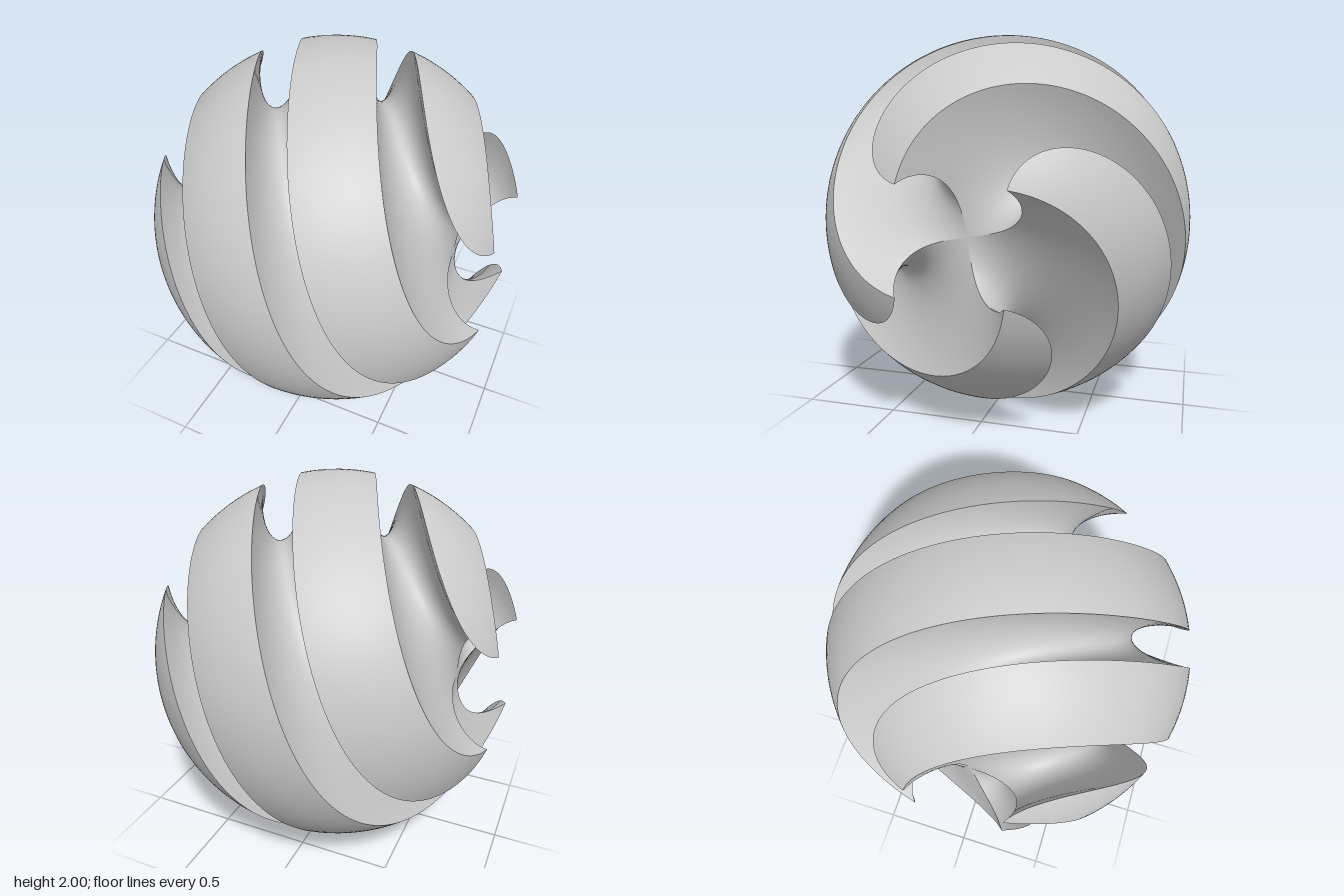
import * as THREE from 'three';

const TWIST = 2.5;      // radians of twist per unit along the x axis
const RING = 0.95;      // radius of the circle each groove follows
const CUT = 0.256;      // radius of the round groove profile
const T_MAX = Math.acos((CUT * CUT + RING * RING - 1) / (2 * RING * CUT)); // profile angle at the sphere surface
const EDGE = CUT * Math.sin(T_MAX);      // half width of a groove at the surface
const TIP = Math.sqrt(1 - 2 * EDGE * EDGE); // x of the pointed land tips

// Grid surface from rule(u, v) -> { x, radius, angle }, twisted around the x axis
function twistedSurface(nu, nv, rule) {
  const geometry = new THREE.PlaneGeometry(1, 1, nu, nv);
  const { position, uv } = geometry.attributes;
  for (let i = 0; i < position.count; i++) {
    const { x, radius, angle } = rule(uv.getX(i), uv.getY(i));
    const phi = angle - TWIST * x;
    position.setXYZ(i, x, radius * Math.sin(phi), radius * Math.cos(phi));
  }
  geometry.computeVertexNormals();
  return geometry;
}

// Spacing along x from -1 to 1, finer towards both ends
const along = (u) => Math.sin(Math.PI * (u - 0.5));

export function createModel() {
  const model = new THREE.Group();
  model.name = 'twistedGroovedSphere';
  const material = new THREE.MeshStandardMaterial({ color: 0xcccccc });

  // Land: strip of the sphere left between two neighbouring grooves
  const land = twistedSurface(160, 24, (u, v) => {
    const x = TIP * along(u);
    const radius = Math.sqrt(1 - x * x);
    const half = Math.PI / 4 - Math.asin(Math.min(EDGE / radius, Math.SQRT1_2));
    return { x, radius, angle: (2 * v - 1) * half };
  });

  // Groove: round channel from pole to pole, mitred where the four meet
  const groove = twistedSurface(160, 32, (u, v) => {
    const t = (2 * v - 1) * T_MAX;
    const s = RING - CUT * Math.cos(t);
    const w = CUT * Math.sin(t);
    const x = Math.sqrt(s * s - w * w) * along(u);
    const q = Math.sqrt(Math.max(s * s - x * x, 0));
    return { x, radius: Math.hypot(q, w), angle: Math.PI / 4 + Math.atan2(w, q) };
  });

  // Four of each around the x axis
  for (let i = 0; i < 4; i++) {
    for (const [name, geometry] of [['land', land], ['groove', groove]]) {
      const mesh = new THREE.Mesh(geometry, material);
      mesh.name = name + (i + 1);
      mesh.rotation.x = i * Math.PI / 2;
      mesh.position.y = 1;
      model.add(mesh);
    }
  }
  return model;
}
